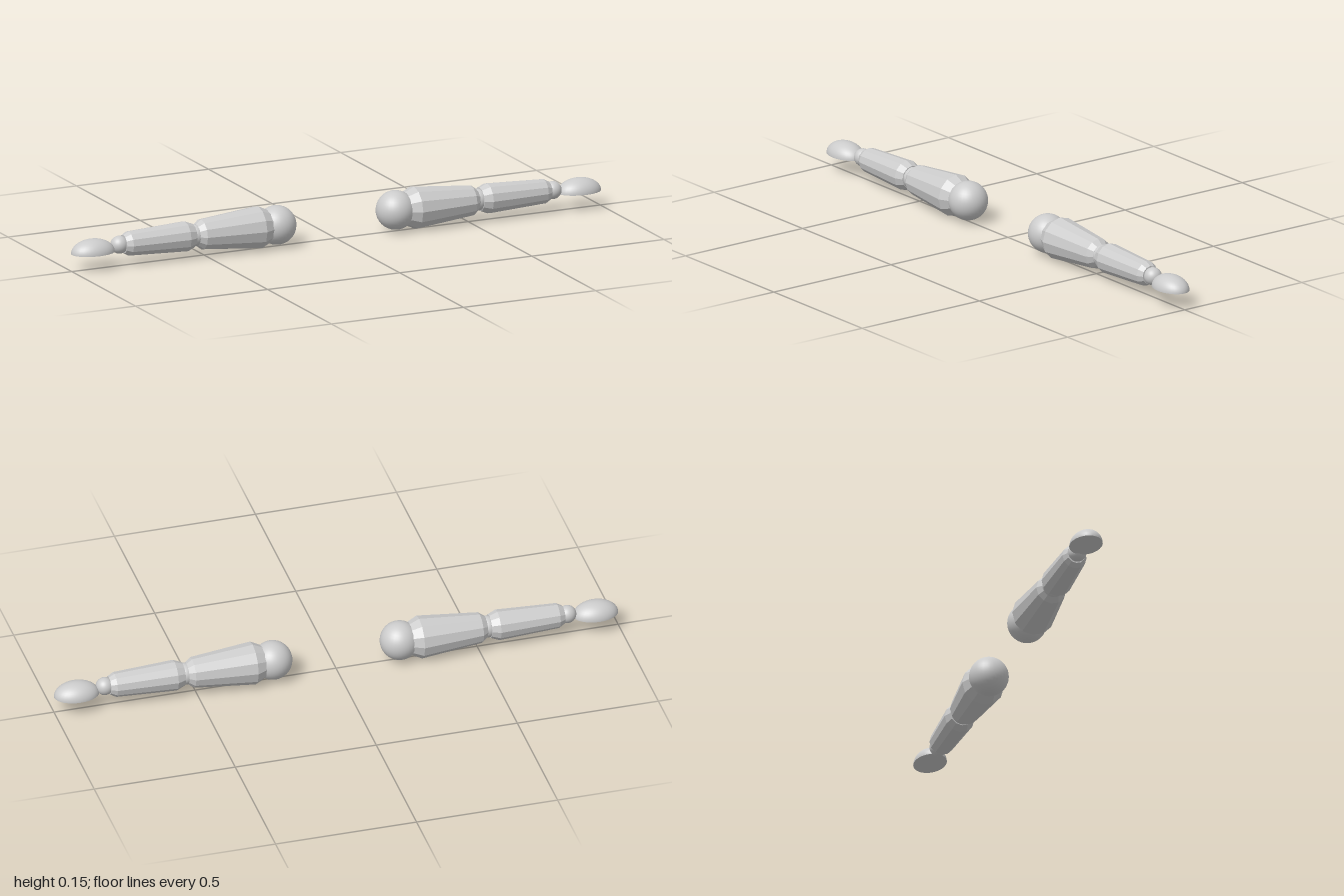
import * as THREE from 'three';

const AXIS_Y = 0.076;

function material(flat) {
  return new THREE.MeshStandardMaterial({ color: 0xcccccc, flatShading: flat });
}

// Twelve-sided limb turned around the x axis; profile is [x, radius]
function limb(name, profile) {
  const points = profile.map(([x, r]) => new THREE.Vector2(r, x));
  const geometry = new THREE.LatheGeometry(points, 12).rotateZ(-Math.PI / 2);
  const mesh = new THREE.Mesh(geometry, material(true));
  mesh.name = name;
  return mesh;
}

function ball(name, x, radius) {
  const mesh = new THREE.Mesh(new THREE.SphereGeometry(radius, 32, 20), material(false));
  mesh.name = name;
  mesh.position.x = x;
  return mesh;
}

// Flat-bottomed half ellipsoid
function createHand() {
  const hand = new THREE.Group();
  hand.name = 'hand';
  const dome = new THREE.Mesh(
    new THREE.SphereGeometry(1, 32, 12, 0, Math.PI * 2, 0, Math.PI / 2), material(false));
  dome.name = 'handBack';
  const palm = new THREE.Mesh(new THREE.CircleGeometry(1, 32).rotateX(Math.PI / 2), material(false));
  palm.name = 'palm';
  hand.add(dome, palm);
  hand.scale.set(0.079, 0.048, 0.055);
  hand.position.set(0.92, 0.06 - AXIS_Y, 0);
  return hand;
}

function createArm(name) {
  const arm = new THREE.Group();
  arm.name = name;
  arm.add(
    ball('shoulder', 0.225, 0.068),
    limb('upperArm', [[0.255, 0], [0.255, 0.055], [0.295, 0.074], [0.51, 0.053], [0.53, 0.038], [0.53, 0]]),
    ball('elbow', 0.536, 0.038),
    limb('forearm', [[0.543, 0], [0.543, 0.041], [0.572, 0.053], [0.785, 0.043], [0.805, 0.032], [0.805, 0]]),
    ball('wrist', 0.82, 0.031),
    createHand()
  );
  arm.position.y = AXIS_Y;
  return arm;
}

export function createModel() {
  const model = new THREE.Group();
  model.name = 'arms';
  const left = createArm('leftArm');
  const right = createArm('rightArm');
  right.rotation.y = Math.PI;
  model.add(left, right);
  return model;
}
